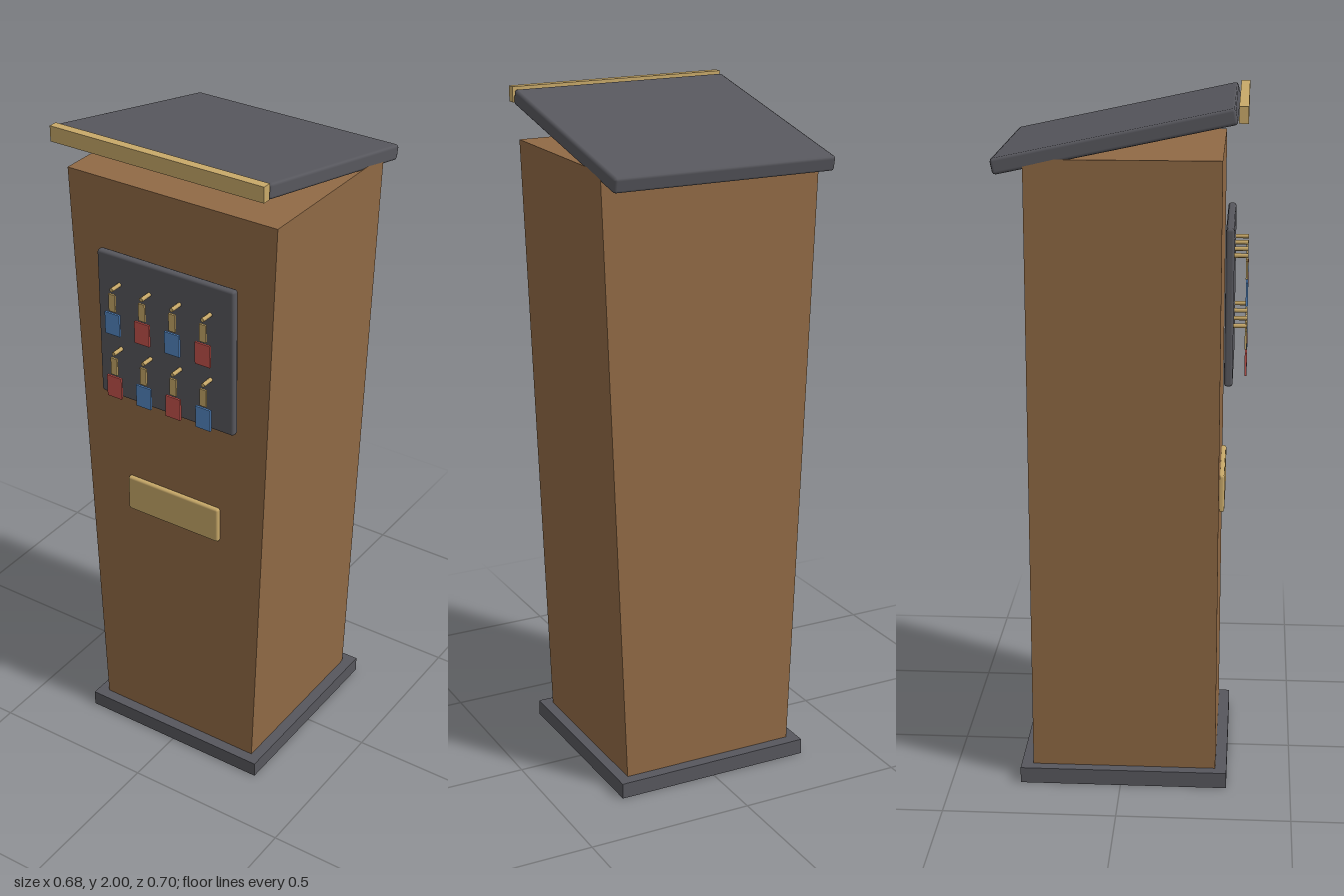
import * as THREE from 'three';
import { RoundedBoxGeometry } from 'three/addons/geometries/RoundedBoxGeometry.js';

const material = (name, color) => {
  const m = new THREE.MeshStandardMaterial({ color });
  m.name = name;
  return m;
};

export function createModel() {
  const wood = material('wood', 0x916a45);
  const slate = material('slate', 0x57575d);
  const brass = material('brass', 0xc8a969);
  const blue = material('blue', 0x5487c3);
  const red = material('red', 0xc4524c);

  const model = new THREE.Group();
  model.name = 'keyStand';

  const add = (name, geometry, mat, x, y, z, parent = model) => {
    const mesh = new THREE.Mesh(geometry, mat);
    mesh.name = name;
    mesh.position.set(x, y, z);
    parent.add(mesh);
    return mesh;
  };

  // Foot plate
  add('base', new THREE.BoxGeometry(0.608, 0.047, 0.608), slate, 0, 0.0235, 0.008);

  // Body: widens sideways towards the top, constant depth
  const profile = new THREE.Shape([
    new THREE.Vector2(-0.271, 0.047), new THREE.Vector2(0.271, 0.047),
    new THREE.Vector2(0.338, 1.855), new THREE.Vector2(-0.338, 1.855),
  ]);
  const bodyGeometry = new THREE.ExtrudeGeometry(profile, { depth: 0.54, bevelEnabled: false });
  add('body', bodyGeometry, wood, 0, 0, -0.261);

  // Sloping reading desk with chamfered edges, and its front lip
  const desk = add('desk', new RoundedBoxGeometry(0.676, 0.045, 0.676, 1, 0.009), slate, 0, 1.903, -0.016);
  desk.rotation.x = -0.21;
  add('deskLip', new THREE.BoxGeometry(0.676, 0.045, 0.026), brass, 0, 1.9775, 0.333);

  // Front panel and name plate
  add('keyPanel', new RoundedBoxGeometry(0.45, 0.45, 0.024, 1, 0.008), slate, 0, 1.427, 0.3);
  add('namePlate', new RoundedBoxGeometry(0.316, 0.113, 0.018, 1, 0.007), brass, 0, 0.863, 0.284);

  // Two rows of hooks, each holding a key with a coloured tag
  const pegGeometry = new THREE.CylinderGeometry(0.0065, 0.0065, 0.04, 6).rotateX(Math.PI / 2);
  const keyGeometry = new THREE.BoxGeometry(0.021, 0.053, 0.006);
  const tagGeometry = new THREE.BoxGeometry(0.049, 0.067, 0.006);
  [1.564, 1.362].forEach((y, row) => {
    for (let col = 0; col < 4; col++) {
      const hook = new THREE.Group();
      hook.name = 'hook';
      hook.position.set(-0.15 + col * 0.1, y, 0);
      model.add(hook);
      add('peg', pegGeometry, brass, 0, 0, 0.33, hook);
      add('key', keyGeometry, brass, 0, -0.04, 0.347, hook);
      add('tag', tagGeometry, (row + col) % 2 ? red : blue, 0, -0.106, 0.348, hook);
    }
  });

  return model;
}
